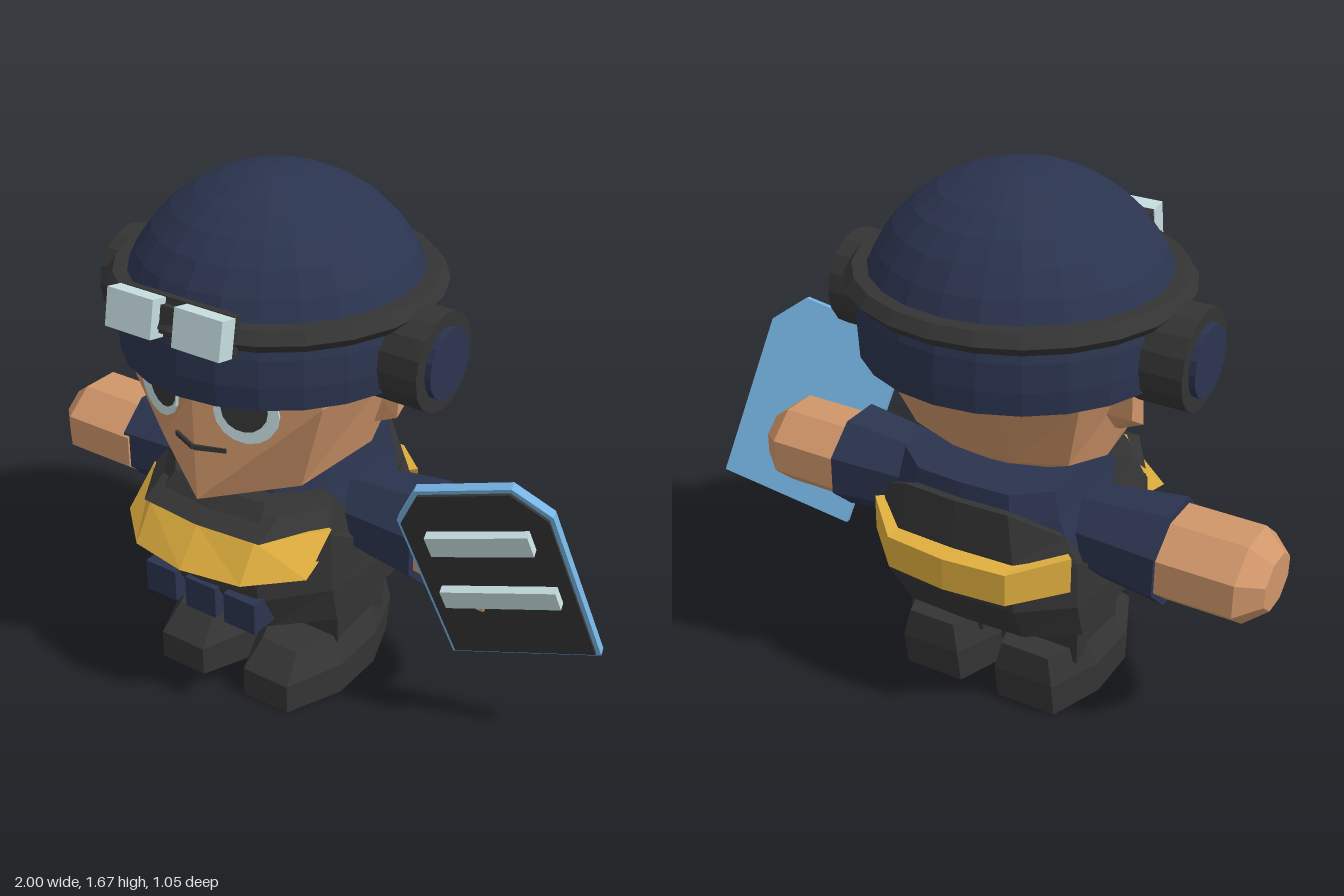
import * as THREE from 'three';
import { ConvexGeometry } from 'three/addons/geometries/ConvexGeometry.js';

const V = (x, y, z) => new THREE.Vector3(x, y, z);

function material(name, color, extra = {}) {
  const m = new THREE.MeshStandardMaterial({ color, flatShading: true, ...extra });
  m.name = name;
  return m;
}

// Half an outline (front centre to back centre) mirrored into a full ring
function mirrorRing(half) {
  return [...half, ...half.slice(1, -1).reverse().map(([x, y, z]) => [-x, y, z])];
}

// Closed solid through rings listed from bottom to top
function loft(rings) {
  const n = rings[0].length, pos = rings.flat(2), idx = [];
  for (let r = 0; r < rings.length - 1; r++) {
    for (let i = 0; i < n; i++) {
      const j = (i + 1) % n, a = r * n, b = a + n;
      idx.push(a + i, a + j, b + j, a + i, b + j, b + i);
    }
  }
  [0, rings.length - 1].forEach((r) => {
    const c = pos.length / 3;
    for (let k = 0; k < 3; k++) pos.push(rings[r].reduce((s, p) => s + p[k], 0) / n);
    for (let i = 0; i < n; i++) {
      const j = (i + 1) % n;
      if (r === 0) idx.push(c, j, i);
      else idx.push(c, r * n + i, r * n + j);
    }
  });
  return surface(pos, idx);
}

// Open ribbon through rows of half outlines, mirrored over x = 0
function ribbon(halves) {
  const rows = halves.map((h) => [...h.slice(1).reverse().map(([x, y, z]) => [-x, y, z]), ...h]);
  const n = rows[0].length, idx = [];
  for (let r = 0; r < rows.length - 1; r++) {
    for (let i = 0; i < n - 1; i++) {
      const a = r * n + i, b = a + n;
      idx.push(a, b, b + 1, a, b + 1, a + 1);
    }
  }
  return surface(rows.flat(2), idx);
}

function surface(pos, idx) {
  const g = new THREE.BufferGeometry();
  g.setAttribute('position', new THREE.Float32BufferAttribute(pos, 3));
  g.setIndex(idx);
  g.computeVertexNormals();
  return g;
}

export function createModel() {
  const navy = material('navy cloth', 0x2b344f);
  const black = material('black gear', 0x343434, { side: THREE.DoubleSide });
  const skin = material('skin', 0xd0966a);
  const gold = material('gold trim', 0xdfae3e, { side: THREE.DoubleSide });
  const pale = material('pale glass', 0xc6dde0);
  const blue = material('shield blue', 0x76b4e4);

  const model = new THREE.Group();
  const body = new THREE.Group();
  body.name = 'figure';
  body.position.x = -0.13;
  model.add(body);

  const add = (name, geo, mat, x = 0, y = 0, z = 0, parent = body) => {
    const m = new THREE.Mesh(geo, mat);
    m.name = name;
    m.position.set(x, y, z);
    parent.add(m);
    return m;
  };
  const box = (w, h, d) => new THREE.BoxGeometry(w, h, d);

  // Head with a pointed chin, low underside and sloping back
  const crown = [[0, .41], [.37, .285], [.395, -.05], [.34, -.28], [.15, -.41], [0, -.42]];
  add('head', loft([
    [[0, .756, .4], [.13, .768, .22], [.2, .785, -.02], [.16, .8, -.13], [.06, .81, -.18], [0, .81, -.185]],
    [[0, .757, .405], [.265, .815, .24], [.32, .85, -.05], [.26, .86, -.18], [.1, .85, -.23], [0, .85, -.235]],
    crown.map(([x, z]) => [x, 1.12, z]),
    crown.map(([x, z]) => [x, 1.2, z]),
  ].map(mirrorRing)), skin);

  // Face and ears
  for (const s of [-1, 1]) {
    const disc = (r, t) => new THREE.CylinderGeometry(r, r, t, 16).rotateX(Math.PI / 2);
    add('eye', disc(.099, .009), pale, s * .16, 1.08, .361).rotation.y = s * .33;
    add('pupil', disc(.07, .008), black, s * .147 + .01, 1.09, .37 - s * .003).rotation.y = s * .33;
    add('mouth', box(.1, .015, .009), black, s * .048, .94, .393).rotation.y = s * .4;
    const ear = [[1.15, -.115, 1.15], [1.02, -.11, 1.02], [.915, -.03, .97], [1.06, -.04, 1.06]];
    add('ear', new ConvexGeometry(ear.flatMap(([y, z, yo]) => [V(s * .3, y, z), V(s * .42, yo, z)])), skin);
  }

  // Helmet dome and rim band
  const dome = [new THREE.Vector2(.36, 1.14), new THREE.Vector2(.478, 1.13)];
  for (let i = 0; i <= 9; i++) {
    const a = (i / 9) * Math.PI / 2;
    dome.push(new THREE.Vector2(i === 9 ? 0 : .482 * Math.cos(a), 1.2 + .475 * Math.sin(a)));
  }
  add('helmet', new THREE.LatheGeometry(dome, 24), navy, 0, 0, -.01);
  const rim = [[.44, 1.315], [.488, 1.315], [.514, 1.345], [.488, 1.38], [.435, 1.38]];
  add('helmetBand', new THREE.LatheGeometry(rim.map((p) => new THREE.Vector2(...p)), 24), black, 0, 0, -.01);

  // Ear protectors
  for (const s of [-1, 1]) {
    const drum = (r, w) => new THREE.CylinderGeometry(r, r, w, 16).rotateZ(-s * Math.PI / 2);
    add('earProtector', drum(.152, .195), black, s * .485, 1.21, -.01);
    add('earProtectorCap', drum(.108, .04), navy, s * .582, 1.21, -.01);
  }

  // Goggles on the brow
  const goggles = new THREE.Group();
  goggles.name = 'goggles';
  goggles.position.set(0, 1.366, .465);
  goggles.rotation.x = -.19;
  body.add(goggles);
  add('goggleFrame', box(.4, .12, .03), black, 0, 0, -.015, goggles);
  add('goggleBridge', box(.07, .08, .03), black, 0, 0, .01, goggles);
  for (const s of [-1, 1]) add('goggleLens', box(.165, .115, .058), pale, s * .12, 0, .027, goggles);

  // Shirt under the vest
  const shirt = (y, k, zOff = 0) => mirrorRing(
    [[0, .33], [.18, .32], [.32, .18], [.32, -.25], [.19, -.36], [0, -.37]].map(([x, z]) => [x * k, y, z * k + zOff]));
  add('shirt', loft([shirt(.34, .8), shirt(.42, .93), shirt(.6, .97), shirt(.72, .86, -.04), shirt(.81, .8, -.05)]), navy);
  add('hips', box(.34, .03, .2), navy, 0, .317, -.03);

  // Vest, cut lower at the arms and leaning back towards the neck
  const vestRing = (ys, kx, kz, zOff = 0) => mirrorRing(
    [[0, .4], [.2, .38], [.35, .2], [.355, -.06], [.35, -.27], [.2, -.39], [0, -.4]]
      .map(([x, z], i) => [x * kx, Array.isArray(ys) ? ys[i] : ys, z * kz + zOff]));
  add('vest', loft([
    vestRing(.32, .99, .83),
    vestRing([.45, .45, .45, .42, .45, .45, .45], 1, 1),
    vestRing([.65, .65, .65, .49, .6, .62, .62], .98, 1),
    vestRing([.75, .75, .75, .5, .68, .77, .77], .86, .88, -.035),
  ]), black);
  add('chestLedge', ribbon([
    [[0, .72, .32], [.22, .72, .3], [.31, .715, .17]],
    [[0, .672, .415], [.22, .672, .395], [.335, .68, .2]],
  ]), black);
  for (const x of [-.152, .005, .155]) add('pouch', box(.117, .107, .1), navy, x, .407, .365);

  // Gold trim across chest and back
  add('chestTrim', ribbon([
    [[0, .66, .32], [.2, .66, .3], [.31, .665, .18]],
    [[0, .67, .41], [.2, .67, .39], [.345, .67, .2]],
    [[0, .555, .5], [.2, .555, .465], [.345, .56, .33]],
    [[0, .56, .36], [.2, .56, .34], [.31, .565, .18]],
  ]), gold);
  add('backTrim', ribbon([
    [[0, .62, -.35], [.2, .62, -.34], [.28, .63, -.24]],
    [[0, .61, -.46], [.2, .61, -.44], [.34, .635, -.3]],
    [[0, .505, -.46], [.2, .505, -.44], [.34, .52, -.3]],
    [[0, .515, -.35], [.2, .515, -.34], [.28, .53, -.24]],
  ]), gold);

  // Arms
  for (const s of [-1, 1]) {
    const tube = (rOut, rIn, len, kz) => new THREE.CylinderGeometry(rOut, rIn, len, 8)
      .rotateY(Math.PI / 8).rotateZ(-s * Math.PI / 2).scale(1, 1, kz);
    const z = s > 0 ? -.065 : -.05, kz = s > 0 ? 1.1 : 1.22;
    add('sleeve', tube(.165, .13, .3, 1.08), navy, s * .41, .6, -.06);
    add('hand', tube(.142, .142, .26, kz), skin, s * .67, .595, z);
    add('fingertips', tube(.085, .142, .07, kz), skin, s * .835, .595, z);
  }

  // Legs and boots
  const sole = (y, kx, zFront, zBack, cx, yBack = y) => {
    const pts = [[0, 0], [.085, 0], [.165, .33], [.165, .68], [.1, 1], [0, 1]];
    return mirrorRing(pts.map(([x, t]) => [x * kx, y + (yBack - y) * t, zFront + (zBack - zFront) * t]))
      .map(([x, yy, z]) => [x + cx, yy, z]);
  };
  for (const s of [-1, 1]) {
    const x = s * .169;
    add('leg', box(.268, .18, .27), black, x, .25, -.035);
    add('boot', loft([
      sole(0, 1, .31, -.25, x), sole(.1, 1, .31, -.27, x, .12), sole(.18, .8, .23, -.26, x, .215),
    ]), black);
  }

  // Riot shield held in the left hand
  const u = V(.947, .262, -.19).normalize();
  const n = u.clone().cross(V(-.195, .93, .313)).normalize();
  const shield = new THREE.Group();
  shield.name = 'shield';
  shield.applyMatrix4(new THREE.Matrix4().makeBasis(u, n.clone().cross(u), n).setPosition(.55, .262, .01));
  model.add(shield);
  const plate = (d, depth) => new THREE.ExtrudeGeometry(new THREE.Shape(
    [[d, d], [.47 - d, d], [.47 - d, .572 - d / 2], [.38 - d / 2, .683 - d], [.09 + d / 2, .683 - d], [d, .572 - d / 2]]
      .map((p) => new THREE.Vector2(...p))), { depth, bevelEnabled: false });
  add('shieldPlate', plate(0, .03), blue, 0, 0, -.015, shield);
  add('shieldFace', plate(.013, .009), black, 0, 0, .015, shield);
  add('shieldUpperSlot', box(.31, .075, .035), pale, .238, .495, .035, shield);
  add('shieldLowerSlot', box(.355, .068, .035), pale, .238, .273, .035, shield);
  add('thumb', box(.025, .05, .06), skin, .66, .51, .045, model);

  return model;
}
